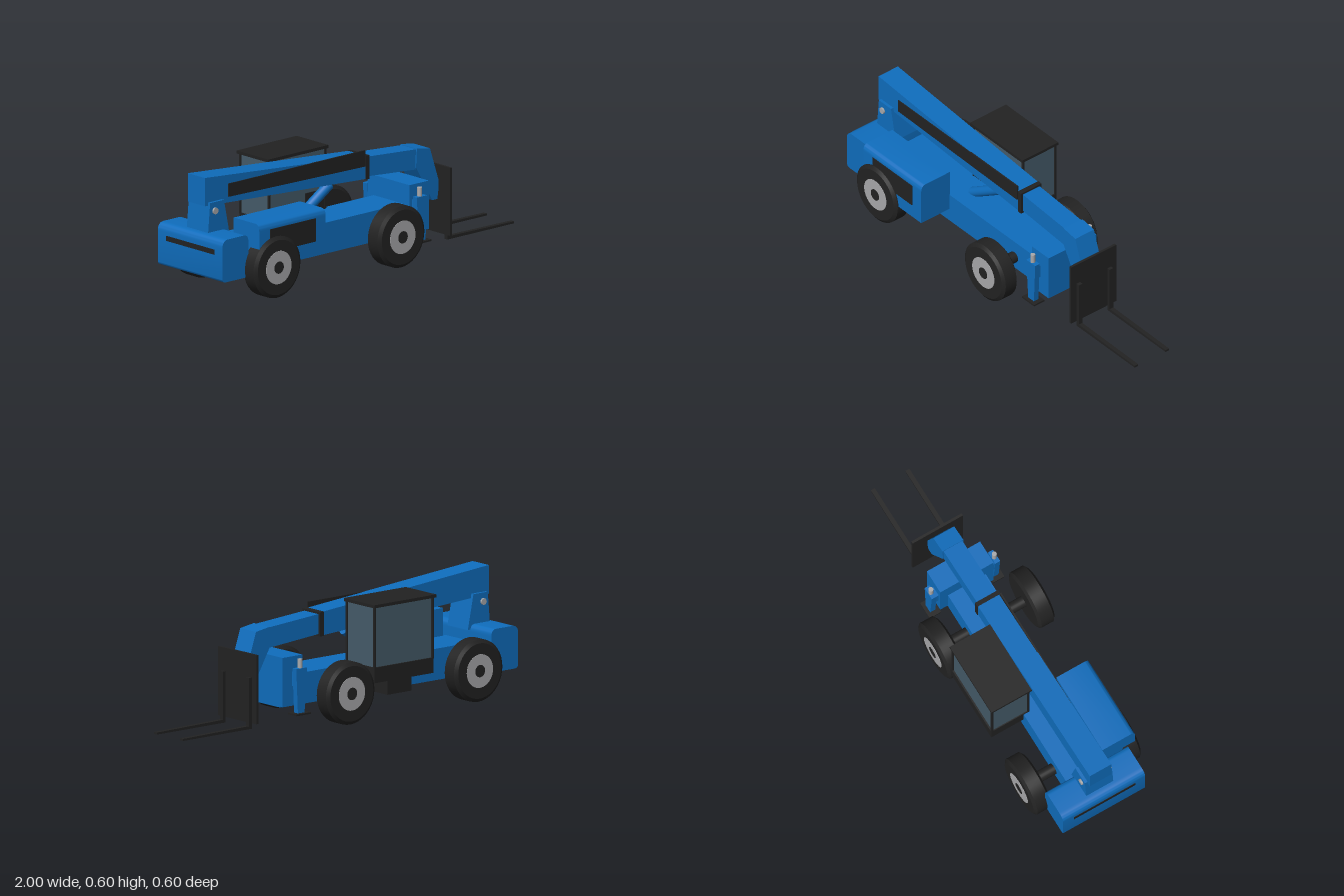
import * as THREE from 'three';
import { toCreasedNormals } from 'three/addons/utils/BufferGeometryUtils.js';

export function createModel() {
  const group = new THREE.Group();
  const material = (name, color) => {
    const m = new THREE.MeshStandardMaterial({ color });
    m.name = name;
    return m;
  };
  const blue = material('blue paint', 0x0f6dbd);
  const black = material('black', 0x222222);
  const grey = material('grey metal', 0xa9a9ab);
  const glass = material('tinted glass', 0x455b69);

  const add = (name, geometry, mat, x = 0, y = 0, z = 0) => {
    const mesh = new THREE.Mesh(geometry, mat);
    mesh.name = name;
    mesh.position.set(x, y, z);
    group.add(mesh);
    return mesh;
  };
  // box given by its limits
  const box = (name, mat, x0, x1, y0, y1, z0, z1) =>
    add(name, new THREE.BoxGeometry(x1 - x0, y1 - y0, z1 - z0), mat,
      (x0 + x1) / 2, (y0 + y1) / 2, (z0 + z1) / 2);
  // side profile in x, y, extruded from z0 to z1
  const slab = (name, mat, points, z0, z1) => {
    const shape = new THREE.Shape(points.map(([x, y]) => new THREE.Vector2(x, y)));
    const g = new THREE.ExtrudeGeometry(shape, { depth: z1 - z0, bevelEnabled: false });
    return add(name, g, mat, 0, 0, z0);
  };
  // round bar between two points
  const bar = (name, mat, a, b, r) => {
    const from = new THREE.Vector3(...a), to = new THREE.Vector3(...b);
    const dir = to.clone().sub(from);
    const mesh = add(name, new THREE.CylinderGeometry(r, r, dir.length(), 24), mat);
    mesh.position.copy(from).add(to).multiplyScalar(0.5);
    mesh.quaternion.setFromUnitVectors(new THREE.Vector3(0, 1, 0), dir.normalize());
    return mesh;
  };

  // Chassis and front frame
  box('chassis', blue, -0.89, 0.385, 0.092, 0.245, -0.105, 0.105);
  box('frontFrame', blue, 0.285, 0.41, 0.105, 0.345, -0.148, 0.148);

  // Counterweight with rounded rear edges
  const cw = new THREE.Shape();
  cw.moveTo(-0.83, 0.115);
  cw.lineTo(-0.83, 0.29);
  cw.quadraticCurveTo(-0.83, 0.325, -0.86, 0.325);
  cw.lineTo(-0.96, 0.325);
  cw.quadraticCurveTo(-0.998, 0.325, -0.998, 0.285);
  cw.lineTo(-0.998, 0.135);
  cw.quadraticCurveTo(-0.998, 0.115, -0.975, 0.115);
  const cwGeo = new THREE.ExtrudeGeometry(cw, { depth: 0.455, bevelEnabled: false, curveSegments: 8 });
  add('counterweight', toCreasedNormals(cwGeo, 0.6), blue, 0, 0, -0.23);
  box('rearVent', black, -1, -0.996, 0.245, 0.27, -0.17, 0.17);

  // Engine hood with rounded outer top edge
  const hood = new THREE.Shape();
  hood.moveTo(-0.1, 0.16);
  hood.lineTo(-0.1, 0.38);
  hood.lineTo(-0.25, 0.38);
  hood.quadraticCurveTo(-0.28, 0.38, -0.28, 0.345);
  hood.lineTo(-0.28, 0.16);
  const hoodGeo = new THREE.ExtrudeGeometry(hood, { depth: 0.43, bevelEnabled: false, curveSegments: 8 });
  hoodGeo.rotateY(Math.PI / 2);
  add('engineHood', toCreasedNormals(hoodGeo, 0.6), blue, -0.81, 0, 0);
  box('hoodGrille', black, -0.74, -0.445, 0.23, 0.345, 0.279, 0.283);

  // Wheels and axles
  const tyreProfile = [[0, -0.046], [0.135, -0.046], [0.152, -0.034], [0.152, 0.034], [0.135, 0.046], [0, 0.046]]
    .map(([r, h]) => new THREE.Vector2(r, h));
  const tyreGeo = toCreasedNormals(new THREE.LatheGeometry(tyreProfile, 40).rotateX(Math.PI / 2), 0.4);
  const disc = (r, h) => new THREE.CylinderGeometry(r, r, h, 32).rotateX(Math.PI / 2);
  for (const x of [-0.7, 0.103]) {
    bar('axle', black, [x, 0.155, -0.22], [x, 0.155, 0.22], 0.028);
    for (const s of [-1, 1]) {
      add('tyre', tyreGeo, black, x, 0.152, s * 0.251);
      add('rim', disc(0.082, 0.006), grey, x, 0.152, s * 0.296);
      add('hubCap', disc(0.03, 0.006), black, x, 0.152, s * 0.298);
    }
  }

  // Boom mast and pivot pin
  slab('mast', blue, [[-0.955, 0.3], [-0.815, 0.3], [-0.85, 0.47], [-0.94, 0.47]], -0.075, 0.075);
  bar('pivotPin', grey, [-0.91, 0.427, -0.084], [-0.91, 0.427, 0.084], 0.016);

  // Telescopic boom
  slab('outerBoom', blue, [[-0.96, 0.455], [0.1, 0.395], [0.1, 0.51], [-0.96, 0.595]], -0.06, 0.06);
  slab('boomCollar', black, [[0.08, 0.394], [0.103, 0.393], [0.103, 0.511], [0.08, 0.513]], -0.064, 0.064);
  slab('innerBoom', blue, [[0.05, 0.408], [0.43, 0.378], [0.43, 0.478], [0.05, 0.505]], -0.052, 0.052);
  slab('boomHead', blue,
    [[0.41, 0.39], [0.515, 0.21], [0.548, 0.21], [0.56, 0.29], [0.5, 0.47], [0.415, 0.483]], -0.058, 0.058);
  slab('boomSidePanel', black,
    [[-0.81, 0.475], [0.075, 0.46], [0.075, 0.54], [-0.81, 0.54]], 0.057, 0.065);
  bar('liftCylinder', blue, [-0.33, 0.24, 0], [-0.1, 0.39, 0], 0.025);

  // Cab
  box('cabBase', black, -0.42, -0.05, 0.18, 0.255, -0.285, -0.08);
  box('cabStep', black, -0.32, -0.17, 0.1, 0.18, -0.24, -0.1);
  box('cabGlass', glass, -0.415, -0.055, 0.255, 0.548, -0.277, -0.082);
  for (const x of [-0.417, -0.053]) {
    for (const z of [-0.28, -0.079]) {
      box('cabPost', black, x - 0.005, x + 0.005, 0.25, 0.55, z - 0.005, z + 0.005);
    }
  }
  box('cabInnerPanel', black, -0.18, -0.055, 0.25, 0.345, -0.083, -0.078);
  box('cabRoof', black, -0.432, -0.043, 0.547, 0.562, -0.291, -0.067);

  // Outriggers
  for (const s of [-1, 1]) {
    const z = s * 0.176;
    slab('outriggerLeg', blue, [[0.308, 0.073], [0.35, 0.073], [0.36, 0.29], [0.293, 0.29]], z - 0.014, z + 0.014);
    bar('outriggerRod', grey, [0.325, 0.28, z], [0.325, 0.334, z], 0.012);
    box('outriggerBracket', blue, 0.3, 0.35, 0.2, 0.27, Math.min(z, s * 0.14), Math.max(z, s * 0.14));
    box('outriggerFoot', black, 0.283, 0.373, 0.065, 0.073, z - 0.032, z + 0.032);
  }

  // Fork carriage and forks
  box('carriage', black, 0.555, 0.568, 0.042, 0.378, -0.14, 0.14);
  for (const z of [-0.096, 0.096]) {
    slab('fork', black,
      [[0.568, 0.015], [1, 0.015], [1, 0.025], [0.585, 0.03], [0.585, 0.265], [0.568, 0.265]], z - 0.011, z + 0.011);
  }
  return group;
}
